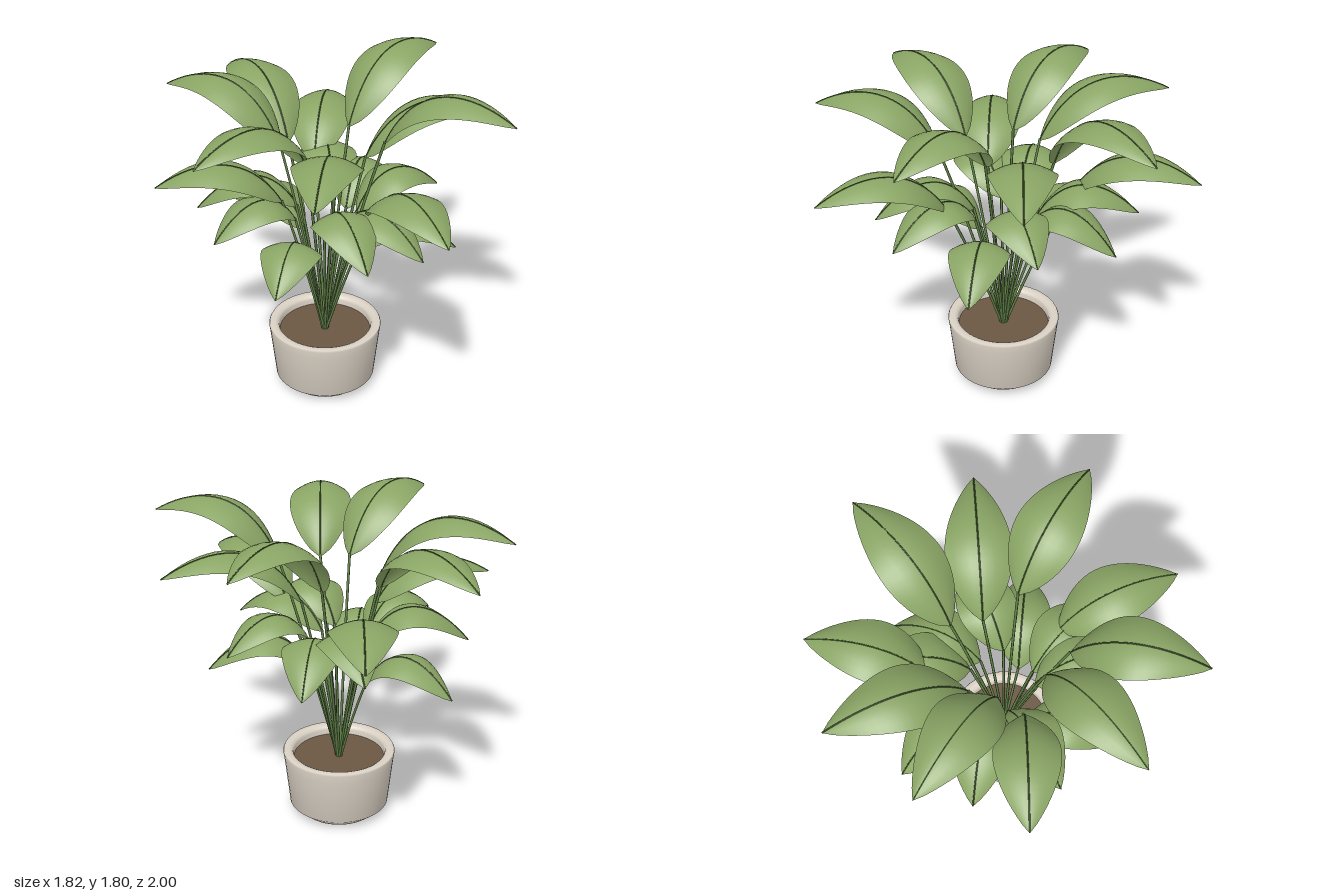
import * as THREE from 'three';

const CX = -0.035, CZ = 0.01; // pot axis

function mat(name, color, side = THREE.FrontSide) {
  const m = new THREE.MeshStandardMaterial({ color, side });
  m.name = name;
  return m;
}

// Each leaf: tip x, tip z, tip height, radius and height of blade base, height of the arch
const UPPER = [
  [0.91, -0.10, 1.52, 0.24, 1.31, 1.62],
  [0.83, 0.48, 1.69, 0.30, 1.47, 1.79],
  [0.41, 0.93, 1.31, 0.35, 1.17, 1.42],
  [-0.22, 0.995, 1.58, 0.32, 1.385, 1.68],
  [-0.725, 0.635, 1.65, 0.22, 1.42, 1.74],
  [-0.91, 0.085, 1.30, 0.24, 1.18, 1.41],
  [-0.81, -0.45, 1.645, 0.21, 1.41, 1.75],
  [-0.445, -0.87, 1.58, 0.24, 1.38, 1.69],
  [0.147, -1.0, 1.31, 0.36, 1.17, 1.42],
  [0.70, -0.70, 1.70, 0.30, 1.42, 1.79],
];
const LOWER = [
  [0.61, -0.17, 1.09, 0.16, 1.04, 1.26],
  [0.645, 0.17, 0.875, 0.15, 0.85, 1.07],
  [0.38, 0.56, 1.03, 0.15, 1.02, 1.22],
  [0.08, 0.68, 1.05, 0.15, 1.04, 1.25],
  [-0.36, 0.56, 0.875, 0.17, 0.85, 1.06],
  [-0.635, 0.265, 1.05, 0.15, 1.03, 1.22],
  [-0.695, -0.185, 1.03, 0.15, 1.05, 1.25],
  [-0.465, -0.55, 0.875, 0.21, 0.85, 1.07],
  [0.05, -0.70, 1.09, 0.18, 1.05, 1.26],
  [0.33, -0.57, 0.99, 0.17, 1.0, 1.21],
];

// Blade swept along its arched midrib, its sides drooping away from the rib
function bladeGeometry(curve, across, halfWidth) {
  const NT = 20, NU = 8, pos = [], idx = [];
  for (let i = 0; i <= NT; i++) {
    const t = i / NT;
    const p = curve.getPointAt(t);
    const normal = new THREE.Vector3().crossVectors(across, curve.getTangentAt(t));
    const w = Math.max(0.002, halfWidth * Math.pow(Math.max(0, Math.sin(Math.PI * Math.pow(t, 0.87))), 0.8));
    for (let j = 0; j <= NU; j++) {
      const u = 2 * j / NU - 1;
      const v = p.clone().addScaledVector(across, w * u).addScaledVector(normal, -w * 0.33 * u * u);
      pos.push(v.x, v.y, v.z);
      if (i < NT && j < NU) {
        const a = i * (NU + 1) + j, b = a + 1, c = a + NU + 1, d = c + 1;
        idx.push(a, b, c, b, d, c);
      }
    }
  }
  const g = new THREE.BufferGeometry();
  g.setAttribute('position', new THREE.Float32BufferAttribute(pos, 3));
  g.setIndex(idx);
  g.computeVertexNormals();
  return g;
}

export function createModel() {
  const model = new THREE.Group();
  model.name = 'pottedPlant';
  const potMat = mat('potCeramic', 0xdbd2c5);
  const soilMat = mat('soil', 0x6b5843);
  const stemMat = mat('stemGreen', 0x5e7d45);
  const ribMat = mat('ribGreen', 0x47632f);
  const leafMat = mat('leafGreen', 0x8aa565, THREE.DoubleSide);

  const add = (parent, name, geometry, material) => {
    const m = new THREE.Mesh(geometry, material);
    m.name = name;
    parent.add(m);
    return m;
  };

  const plant = new THREE.Group();
  plant.name = 'plant';
  plant.position.set(CX, 0, CZ);
  model.add(plant);

  // Pot with chamfered foot and rounded rim
  const profile = [
    [0, 0], [0.21, 0], [0.275, 0.055], [0.304, 0.32],
    [0.31, 0.365], [0.305, 0.375], [0.275, 0.375], [0.258, 0.366], [0.252, 0.35], [0.248, 0.29],
  ].map(([x, y]) => new THREE.Vector2(x, y));
  add(plant, 'pot', new THREE.LatheGeometry(profile, 48), potMat);

  // Soil disc
  const soil = add(plant, 'soil', new THREE.CylinderGeometry(0.25, 0.25, 0.02, 48), soilMat);
  soil.position.y = 0.315;

  // A leaf on its slender stem; sway moves the blade base sideways so the leaf swings about its tip
  function addLeaf(name, [tx, tz, ty, r0, y0, arch], halfWidth, sway) {
    const dx = tx - CX, dz = tz - CZ, r1 = Math.hypot(dx, dz);
    const dir = new THREE.Vector3(dx / r1, 0, dz / r1);
    const side = new THREE.Vector3(-dir.z, 0, dir.x);
    const at = (r, y, s) => dir.clone().multiplyScalar(r).addScaledVector(side, s).setY(y);
    const span = r1 - r0;
    const leaf = new THREE.Group();
    leaf.name = name;
    plant.add(leaf);

    const stem = new THREE.QuadraticBezierCurve3(
      at(0.01, 0.31, 0), at(r0 * 0.46, 0.31 + (y0 - 0.31) * 0.53, sway * 0.46), at(r0 + 0.004, y0 + 0.015, sway));
    add(leaf, 'stem', new THREE.TubeGeometry(stem, 10, 0.0075, 6), stemMat);

    const rib = new THREE.CubicBezierCurve3(
      at(r0, y0, sway), at(r0 + span * 0.18, arch - 0.01, sway * 0.82),
      at(r0 + span * 0.53, arch + 0.1, sway * 0.47), at(r1, ty, 0));
    const across = side.clone().applyAxisAngle(new THREE.Vector3(0, 1, 0), Math.atan2(sway, span));
    add(leaf, 'blade', bladeGeometry(rib, across, halfWidth), leafMat);
    add(leaf, 'midrib', new THREE.TubeGeometry(rib, 20, 0.004, 4), ribMat);
  }
  UPPER.forEach((l, i) => addLeaf('upperLeaf' + (i + 1), l, 0.17, -0.07));
  LOWER.forEach((l, i) => addLeaf('lowerLeaf' + (i + 1), l, 0.157, 0.05));

  return model;
}
